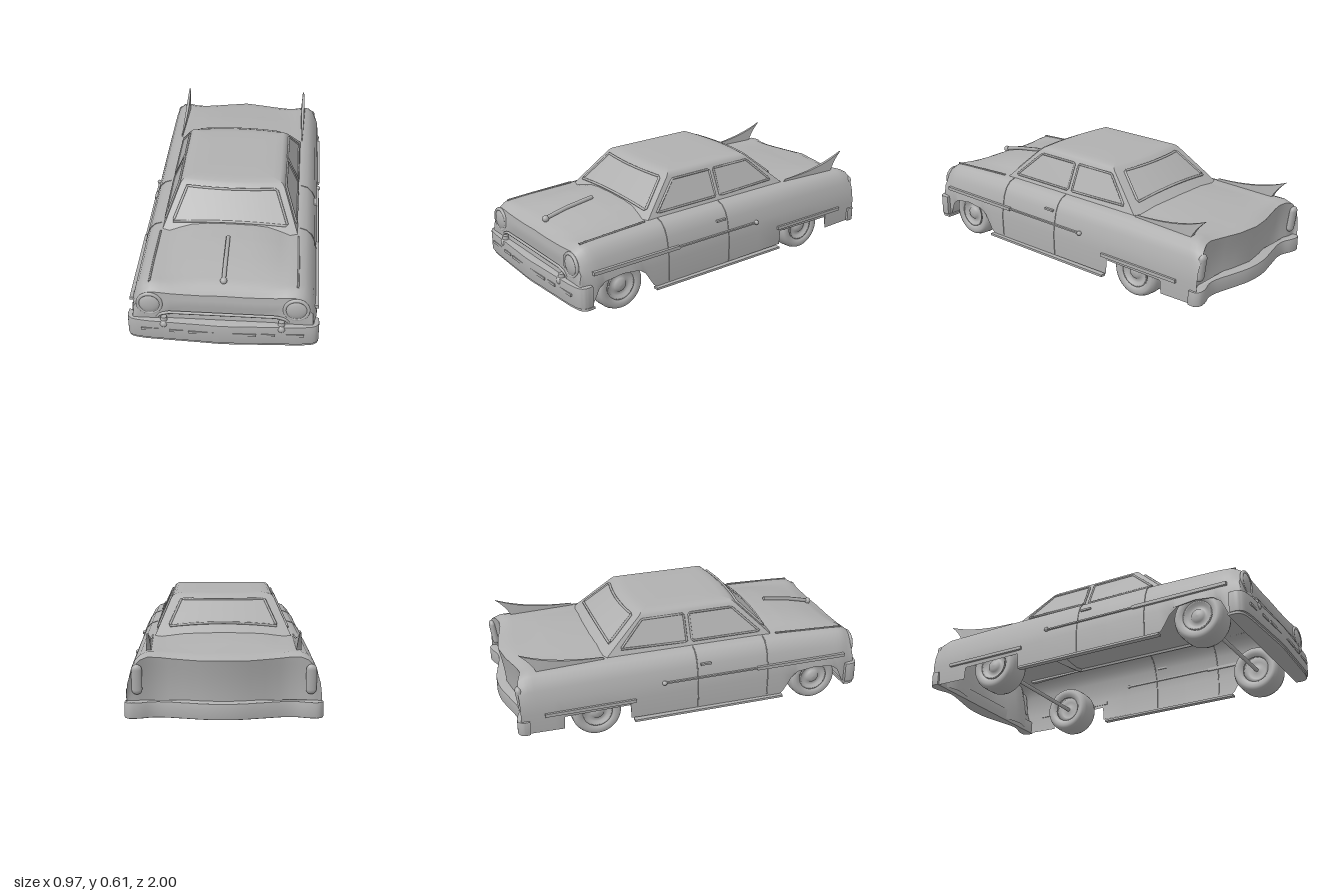
import * as THREE from 'three';
import { toCreasedNormals } from 'three/addons/utils/BufferGeometryUtils.js';

const grey = new THREE.MeshStandardMaterial({ color: 0xb0b0b0, side: THREE.DoubleSide });
grey.name = 'grey paint';

// Piecewise linear lookup through [key, value] pairs with ascending keys
function lookup(pairs, k) {
  if (k <= pairs[0][0]) return pairs[0][1];
  for (let i = 1; i < pairs.length; i++) {
    const [a, va] = pairs[i - 1], [b, vb] = pairs[i];
    if (k <= b) return va + (vb - va) * (k - a) / (b - a);
  }
  return pairs[pairs.length - 1][1];
}

// Surface through rows of [x, y, z] points
function skin(rows, crease = 0.6) {
  const n = rows[0].length, index = [];
  for (let r = 0; r < rows.length - 1; r++) {
    for (let c = 0; c < n - 1; c++) {
      const a = r * n + c, b = a + n;
      index.push(a, b, a + 1, a + 1, b, b + 1);
    }
  }
  const g = new THREE.BufferGeometry();
  g.setAttribute('position', new THREE.Float32BufferAttribute(rows.flat(2), 3));
  g.setIndex(index);
  return toCreasedNormals(g, crease);
}

// Body heights along z
const crown = [[-0.97, 0.365], [-0.9, 0.39], [-0.7, 0.415], [-0.48, 0.425], [0.48, 0.447], [0.6, 0.438], [0.75, 0.415], [0.87, 0.385], [0.94, 0.352]];
const fender = [[-0.97, 0.375], [-0.9, 0.4], [-0.5, 0.405], [0.4, 0.405], [0.8, 0.395], [0.9, 0.388], [0.945, 0.36]];
const hem = [[-0.97, 0.09], [-0.73, 0.085], [-0.725, 0.155], [-0.37, 0.16], [-0.365, 0.08], [0.51, 0.075], [0.57, 0.17], [0.61, 0.2],
  [0.71, 0.212], [0.81, 0.2], [0.85, 0.17], [0.89, 0.085], [0.95, 0.08]];
// Wavy outline of the tail, by distance from the middle
const tail = [[0, -0.982], [0.08, -0.974], [0.2, -0.943], [0.28, -0.925], [0.34, -0.922], [0.38, -0.94], [0.43, -0.958], [0.48, -0.955]];

function section(z) {
  const c = lookup(crown, z), f = lookup(fender, z), b = lookup(hem, z);
  const w = 1 - 0.03 * THREE.MathUtils.smoothstep(z, 0.85, 0.95);
  const half = [[0, c], [0.12, c - 0.003], [0.2, c * 0.8 + f * 0.2 - 0.003], [0.27, c * 0.4 + f * 0.6 - 0.004], [0.32, f - 0.003], [0.37, f],
    [0.405, f - 0.012], [0.432, f - 0.04], [0.45, f - 0.08], [0.464, 0.26], [0.471, Math.max(0.2, b)], [0.466, b]];
  const end = THREE.MathUtils.smoothstep(-z, 0.75, 0.95);
  const right = half.map(([x, y]) => [x * w, y, z + end * (lookup(tail, x) + 0.95)]);
  return [...right.slice(1).reverse().map(([x, y, d]) => [-x, y, d]), ...right];
}

function bodyShell() {
  const zs = [-0.95, -0.935, -0.92, -0.9, -0.87, -0.83, -0.78, -0.731, -0.725, -0.6, -0.5, -0.37, -0.365, -0.2, 0, 0.2, 0.4,
    0.5, 0.52, 0.57, 0.59, 0.61, 0.66, 0.71, 0.76, 0.81, 0.83, 0.85, 0.87, 0.89, 0.91, 0.93, 0.945];
  return skin(zs.map(section), 0.7);
}

// Closing face of the nose or tail, from the edge section down to the hem
function endFace(z, bottom, shift) {
  const edge = section(z), rows = [];
  for (let i = 0; i <= 8; i++) {
    const t = i / 8;
    rows.push(edge.map(([x, y, d]) => [x, y + (Math.min(bottom, y) - y) * t, d + shift(t, x)]));
  }
  return skin(rows, 0.7);
}

// Half width of the cabin side at height y
const sideX = y => 0.36 - (y - 0.4) * 0.45;
const frontZ = (x, y) => 0.515 - (y - 0.4) * 1.1 - 0.3 * x * x;
const rearZ = (x, y) => -0.52 + (y - 0.4) * 1.25 + 0.4 * x * x;

// Closed cabin outline at height y; inset rounds over the roof edge
function cabinRing(y, inset) {
  const p = [], s = [-1, -0.96, -0.75, -0.5, -0.25, 0, 0.25, 0.5, 0.75, 0.96, 1];
  const h = Math.min(y, 0.588), w = sideX(h) - inset;
  s.forEach(k => p.push([k * w, y, frontZ(k * w, h) - inset]));
  [0.25, 0.5, 0.75].forEach(t => p.push([w, y, THREE.MathUtils.lerp(frontZ(w, h) - inset, rearZ(w, h) + inset, t)]));
  s.forEach(k => p.push([-k * w, y, rearZ(k * w, h) + inset]));
  [0.75, 0.5, 0.25].forEach(t => p.push([-w, y, THREE.MathUtils.lerp(frontZ(w, h) - inset, rearZ(w, h) + inset, t)]));
  p.push(p[0].slice());
  return p;
}

// Solid bar from a half plan outline of [x, z] points, closed straight at the back
function bumperGeometry(plan, y0, height) {
  const pts = [...plan.slice(1).reverse().map(([x, z]) => [-x, z]), ...plan];
  const curve = new THREE.CatmullRomCurve3(pts.map(([x, z]) => new THREE.Vector3(x, -z, 0)), false, 'centripetal');
  const shape = new THREE.Shape(curve.getPoints(64).map(v => new THREE.Vector2(v.x, v.y)));
  const g = new THREE.ExtrudeGeometry(shape, { depth: height - 0.012, bevelSize: 0.004, bevelThickness: 0.006, bevelSegments: 2 });
  g.rotateX(-Math.PI / 2).translate(0, y0 + 0.006, 0);
  return toCreasedNormals(g, 0.6);
}

export function createModel() {
  const car = new THREE.Group();
  car.name = 'car';
  const add = (name, geometry, x = 0, y = 0, z = 0, parent = car) => {
    const m = new THREE.Mesh(geometry, grey);
    m.name = name;
    m.position.set(x, y, z);
    parent.add(m);
    return m;
  };
  const box = (name, w, h, d, x, y, z) => add(name, new THREE.BoxGeometry(w, h, d), x, y, z);
  const tube = (name, pts, r, closed = false) => {
    const path = new THREE.CurvePath(), v = pts.map(p => new THREE.Vector3(...p));
    for (let i = 0; i < v.length - (closed ? 0 : 1); i++) path.add(new THREE.LineCurve3(v[i], v[(i + 1) % v.length]));
    return add(name, new THREE.TubeGeometry(path, 80, r, 6, closed));
  };

  // Body
  add('bodyShell', bodyShell());
  add('nose', endFace(0.945, 0.09, (t, x) => 0.012 * Math.sin(t * Math.PI) - (Math.abs(x) < 0.31 && t > 0.3 && t < 0.6 ? 0.012 : 0)));
  add('tailPanel', endFace(-0.95, 0.1, t => 0.008 * Math.sin(t * Math.PI) + 0.035 * t));

  // Cabin and roof
  const rings = [[0.39, 0], [0.45, 0], [0.52, 0], [0.58, 0], [0.592, 0.006], [0.599, 0.02], [0.603, 0.06], [0.605, 0.13], [0.606, 0.2]];
  const rows = rings.map(([y, inset]) => cabinRing(y, inset));
  rows.push(rows[0].map(() => [0, 0.606, 0]));
  add('cabin', skin(rows, 0.45));

  // Windscreen and rear window with raised frames
  for (const [name, zAt, out, wLow, wTop, low] of [['windscreen', frontZ, 1, 0.305, 0.24, 0.437], ['rearWindow', rearZ, -1, 0.285, 0.225, 0.45]]) {
    const at = (s, t, lift) => {
      const y = low + 0.018 * (1 - s * s) * (1 - t) + (0.575 - low) * t, x = s * (wLow + (wTop - wLow) * t);
      return [x, y, zAt(x, y) + out * lift];
    };
    const s = [-1, -0.75, -0.5, -0.25, 0, 0.25, 0.5, 0.75, 1];
    add(name, skin([0, 0.5, 1].map(t => s.map(k => at(k, t, 0.006)))));
    tube(name + 'Frame', [...s.map(k => at(k, 0, 0.006)), ...s.map(k => at(-k, 1, 0.006))], 0.007, true);
  }

  // Parts on both sides
  for (const side of [1, -1]) {
    // Side windows as [z, y] corners
    const panes = { frontSideWindow: [[0.41, 0.428], [0.265, 0.566], [0.015, 0.566], [0.015, 0.428]],
      rearSideWindow: [[-0.015, 0.428], [-0.015, 0.566], [-0.25, 0.566], [-0.385, 0.436]] };
    for (const [name, q] of Object.entries(panes)) {
      const p = q.map(([z, y]) => [side * (sideX(y) + 0.004), y, z]);
      add(name, skin([[p[0], p[1]], [p[3], p[2]]]));
      tube(name + 'Frame', p, 0.006, true);
    }

    // Tail fin, thin at the front and thicker towards the rear
    const fin = new THREE.Shape();
    fin.moveTo(0.47, 0.395);
    fin.lineTo(0.49, 0.418);
    fin.quadraticCurveTo(0.76, 0.42, 0.93, 0.497);
    fin.quadraticCurveTo(0.87, 0.45, 0.84, 0.385);
    const finGeo = new THREE.ExtrudeGeometry(fin, { depth: 0.026, bevelEnabled: false, curveSegments: 12 });
    finGeo.translate(0, 0, -0.013).rotateY(Math.PI / 2);
    const fp = finGeo.attributes.position;
    for (let i = 0; i < fp.count; i++) {
      const back = (-fp.getZ(i) - 0.47) / 0.4;
      fp.setX(i, fp.getX(i) * Math.min(1, 0.15 + back) * (1 - 0.7 * Math.max(0, (fp.getY(i) - 0.4) / 0.1)));
    }
    finGeo.computeVertexNormals();
    add('tailFin', finGeo, side * 0.367);

    // Headlight
    add('headlightRing', new THREE.TorusGeometry(0.059, 0.009, 10, 40), side * 0.367, 0.29, 0.95);
    add('headlightLens', new THREE.SphereGeometry(0.057, 32, 16), side * 0.367, 0.29, 0.946).scale.z = 0.35;

    // Tail light
    const lamp = add('tailLight', new THREE.CapsuleGeometry(0.026, 0.1, 6, 20), side * 0.42, 0.275, -0.945);
    lamp.scale.z = 0.7;
    lamp.rotation.x = -0.13;

    // Bumper guard
    add('bumperGuard', new THREE.SphereGeometry(0.022, 20, 14), side * 0.295, 0.185, 0.972);
    add('guardCap', new THREE.CylinderGeometry(0.015, 0.018, 0.025, 16), side * 0.295, 0.21, 0.965);

    // Side trims, sill, door seams and handle
    box('frontTrim', 0.02, 0.018, 0.53, side * 0.468, 0.26, 0.62);
    box('doorTrim', 0.018, 0.008, 0.54, side * 0.466, 0.26, 0.09);
    add('trimTip', new THREE.SphereGeometry(0.013, 14, 10), side * 0.472, 0.262, -0.18);
    box('rearTrim', 0.018, 0.018, 0.49, side * 0.474, 0.187, -0.585);
    box('sill', 0.03, 0.012, 0.86, side * 0.471, 0.068, 0.08);
    for (const z of [0.42, 0.012]) {
      tube('doorSeam', [[0.467, 0.085, z], [0.471, 0.2, z], [0.464, 0.26, z], [0.45, 0.325, z], [0.432, 0.365, z], [0.405, 0.393, z], [0.37, 0.405, z]]
        .map(([x, y, d]) => [side * x, y, d]), 0.003);
    }
    box('doorHandle', 0.015, 0.01, 0.06, side * 0.452, 0.33, 0.06);
    tube('fenderCrease', [[side * 0.37, 0.39, 0.9], [side * 0.37, 0.397, 0.75], [side * 0.365, 0.407, 0.5]], 0.005);

    // Wheels with rims and domed hub caps
    const tyre = [[0.075, 0.055], [0.088, 0.07], [0.11, 0.074], [0.126, 0.066], [0.134, 0.045], [0.136, 0], [0.134, -0.045], [0.126, -0.066],
      [0.11, -0.074], [0.088, -0.07], [0.075, -0.055]].map(p => new THREE.Vector2(...p));
    const rim = [[0, 0.07], [0.02, 0.068], [0.036, 0.06], [0.042, 0.05], [0.06, 0.052], [0.072, 0.064], [0.08, 0.066], [0.08, 0.05],
      [0.075, -0.05], [0.05, -0.03], [0.02, -0.04], [0, -0.04]].map(p => new THREE.Vector2(...p));
    for (const [name, z] of [['frontWheel', 0.71], ['rearWheel', -0.545]]) {
      const wheel = new THREE.Group();
      wheel.name = name;
      wheel.position.set(side * 0.38, 0.137, z);
      wheel.rotation.z = -side * Math.PI / 2;
      add('tyre', new THREE.LatheGeometry(tyre.reverse(), 48), 0, 0, 0, wheel);
      add('rim', new THREE.LatheGeometry(rim, 40), 0, 0, 0, wheel);
      car.add(wheel);
    }
  }

  // Axles
  for (const z of [0.71, -0.545]) add('axle', new THREE.CylinderGeometry(0.011, 0.011, 0.72, 14), 0, 0.137, z).rotation.z = Math.PI / 2;

  // Bumpers
  const frontPlan = [[0, 0.994], [0.12, 0.989], [0.3, 0.981], [0.4, 0.975], [0.46, 0.962], [0.478, 0.94], [0.478, 0.9]];
  add('frontBumper', bumperGeometry(frontPlan, 0.088, 0.114));
  add('frontBumperLip', bumperGeometry(frontPlan.map(([x, z]) => [x, z - 0.008]), 0.073, 0.016));
  const rearPlan = [[0, -0.996], [0.08, -0.99], [0.2, -0.962], [0.3, -0.94], [0.35, -0.942], [0.41, -0.963], [0.455, -0.966], [0.476, -0.945], [0.476, -0.915]];
  add('rearBumper', bumperGeometry(rearPlan, 0.086, 0.08));

  // Slots on the front bumper and chrome lip over the grille
  for (const [x, w, z] of [[0, 0.34, 0.993], [0.23, 0.07, 0.988], [-0.23, 0.07, 0.988], [0.36, 0.1, 0.981], [-0.36, 0.1, 0.981]]) {
    box('bumperSlot', w, 0.014, 0.009, x, 0.149, z);
  }
  tube('grilleLip', [[-0.335, 0.205, 0.95], [-0.315, 0.23, 0.957], [-0.27, 0.245, 0.96], [0.27, 0.245, 0.96], [0.315, 0.23, 0.957], [0.335, 0.205, 0.95]], 0.008);

  // Hood ornament
  tube('hoodOrnament', [[0, 0.45, 0.585], [0, 0.427, 0.75], [0, 0.399, 0.87]], 0.011);
  add('ornamentTip', new THREE.SphereGeometry(0.018, 16, 12), 0, 0.396, 0.875);
  return car;
}
